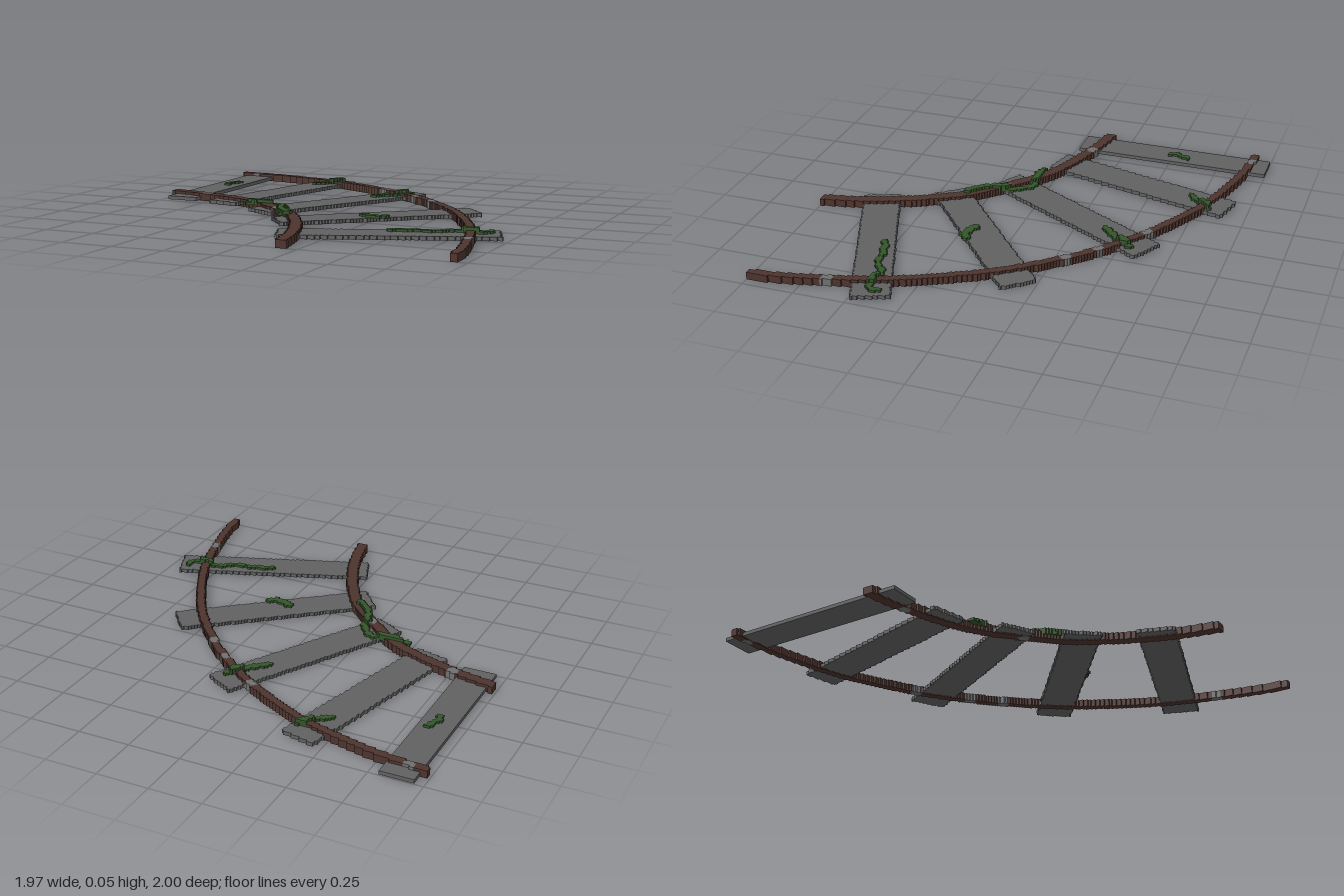
import * as THREE from 'three';
import { mergeGeometries } from 'three/addons/utils/BufferGeometryUtils.js';

const N = 190, S = 2 / N; // block grid over the 2 x 2 footprint

const mat = (name, color) => {
  const m = new THREE.MeshStandardMaterial({ color });
  m.name = name;
  return m;
};

// Fills grid cells where inside(x, z) is true, one box per run of cells in a row
function blocks(inside, y0, y1) {
  const boxes = [];
  for (let j = 0; j < N; j++) {
    const z = -1 + (j + 0.5) * S;
    let start = -1;
    for (let i = 0; i <= N; i++) {
      const on = i < N && inside(-1 + (i + 0.5) * S, z);
      if (on && start < 0) start = i;
      if (!on && start >= 0) {
        const w = (i - start) * S;
        boxes.push(new THREE.BoxGeometry(w, y1 - y0, S)
          .translate(-1 + start * S + w / 2, (y0 + y1) / 2, z));
        start = -1;
      }
    }
  }
  return boxes.length ? mergeGeometries(boxes) : null;
}

// Distance from a point to a smooth path through [x, z] points
function pathDistance(points, samples) {
  const curve = new THREE.SplineCurve(points.map(p => new THREE.Vector2(...p)));
  const pts = curve.getSpacedPoints(samples);
  return (x, z) => {
    let d = Infinity;
    for (const p of pts) d = Math.min(d, (p.x - x) ** 2 + (p.y - z) ** 2);
    return Math.sqrt(d);
  };
}

export function createModel() {
  const group = new THREE.Group();
  const stone = mat('sleeper grey', 0x616161);
  const rust = mat('rusty brown', 0x4e342e);
  const steel = mat('worn steel', 0x707070);
  const green = mat('vine green', 0x33552a);

  const add = (name, geometry, material) => {
    if (!geometry) return;
    const mesh = new THREE.Mesh(geometry, material);
    mesh.name = name;
    group.add(mesh);
  };

  // Sleepers: outer end x, z, inner end x, z, width
  const sleepers = [
    [-0.877, -1.0, -0.877, -0.02, 0.157],
    [-0.378, -0.907, -0.62, 0.034, 0.175],
    [0.15, -0.64, -0.325, 0.215, 0.172],
    [0.63, -0.18, -0.12, 0.44, 0.172],
    [0.945, 0.40, 0.03, 0.74, 0.175],
  ];
  sleepers.forEach(([ax, az, bx, bz, w], i) => {
    const len = Math.hypot(bx - ax, bz - az);
    const ux = (bx - ax) / len, uz = (bz - az) / len;
    add('sleeper' + (i + 1), blocks((x, z) => {
      const along = (x - ax) * ux + (z - az) * uz;
      const across = (z - az) * ux - (x - ax) * uz;
      return along >= 0 && along <= len && Math.abs(across) <= w / 2;
    }, 0.004, 0.022), stone);
  });

  // Rails, with a few spots where bare steel shows through the rust
  const outer = pathDistance([[-0.98, -0.92], [-0.71, -0.885], [-0.39, -0.80], [-0.18, -0.705],
    [0.03, -0.585], [0.24, -0.425], [0.40, -0.265], [0.57, -0.055], [0.715, 0.20],
    [0.815, 0.425], [0.89, 0.69], [0.93, 0.875], [0.943, 1.0]], 400);
  const inner = pathDistance([[-0.98, -0.14], [-0.79, -0.10], [-0.525, -0.01], [-0.37, 0.08],
    [-0.235, 0.20], [-0.10, 0.335], [0, 0.495], [0.08, 0.665], [0.135, 0.825], [0.173, 1.0]], 250);
  const bare = [[-0.90, -0.92], [-0.775, -0.10], [0, -0.60], [0.23, -0.43],
    [0.355, -0.31], [0.88, 0.64], [-0.24, 0.19]];
  const isBare = (x, z) => bare.some(([bx, bz]) => Math.hypot(x - bx, z - bz) < 0.027);
  for (const [name, dist, r] of [['outerRail', outer, 0.0195], ['innerRail', inner, 0.026]]) {
    const on = (x, z) => x > -0.985 && dist(x, z) < r;
    add(name, blocks((x, z) => on(x, z) && !isBare(x, z), 0, 0.036), rust);
    add(name + 'BareSteel', blocks((x, z) => on(x, z) && isBare(x, z), 0, 0.036), steel);
  }

  // Vines creeping over the sleepers and climbing over the rails: half width, path
  const vines = [
    [0.017, [[-0.85, -0.59], [-0.865, -0.55], [-0.875, -0.50]]],
    [0.017, [[-0.45, -0.71], [-0.40, -0.75], [-0.37, -0.80], [-0.34, -0.82]]],
    [0.024, [[0.02, -0.41], [0.07, -0.45], [0.11, -0.50], [0.15, -0.55]]],
    [0.020, [[-0.48, 0.07], [-0.37, 0.07], [-0.28, 0.07], [-0.23, 0.13],
      [-0.21, 0.20], [-0.18, 0.28], [-0.11, 0.345]]],
    [0.022, [[0.21, 0.18], [0.27, 0.21], [0.31, 0.19]]],
    [0.016, [[0.48, 0.53], [0.58, 0.495], [0.68, 0.48], [0.74, 0.43],
      [0.82, 0.44], [0.89, 0.425], [0.90, 0.38]]],
  ];
  const nearRail = (x, z) => outer(x, z) < 0.035 || inner(x, z) < 0.035;
  vines.forEach(([r, points], i) => {
    const dist = pathDistance(points, 60);
    // A ragged leafy edge
    const on = (x, z) => dist(x, z) < r * (0.85 + 0.35 * Math.sin(x * 97 + i) * Math.cos(z * 83));
    add('vine' + (i + 1), blocks((x, z) => on(x, z) && !nearRail(x, z), 0.02, 0.033), green);
    add('vineOverRail' + (i + 1), blocks((x, z) => on(x, z) && nearRail(x, z), 0.02, 0.05), green);
  });

  return group;
}
